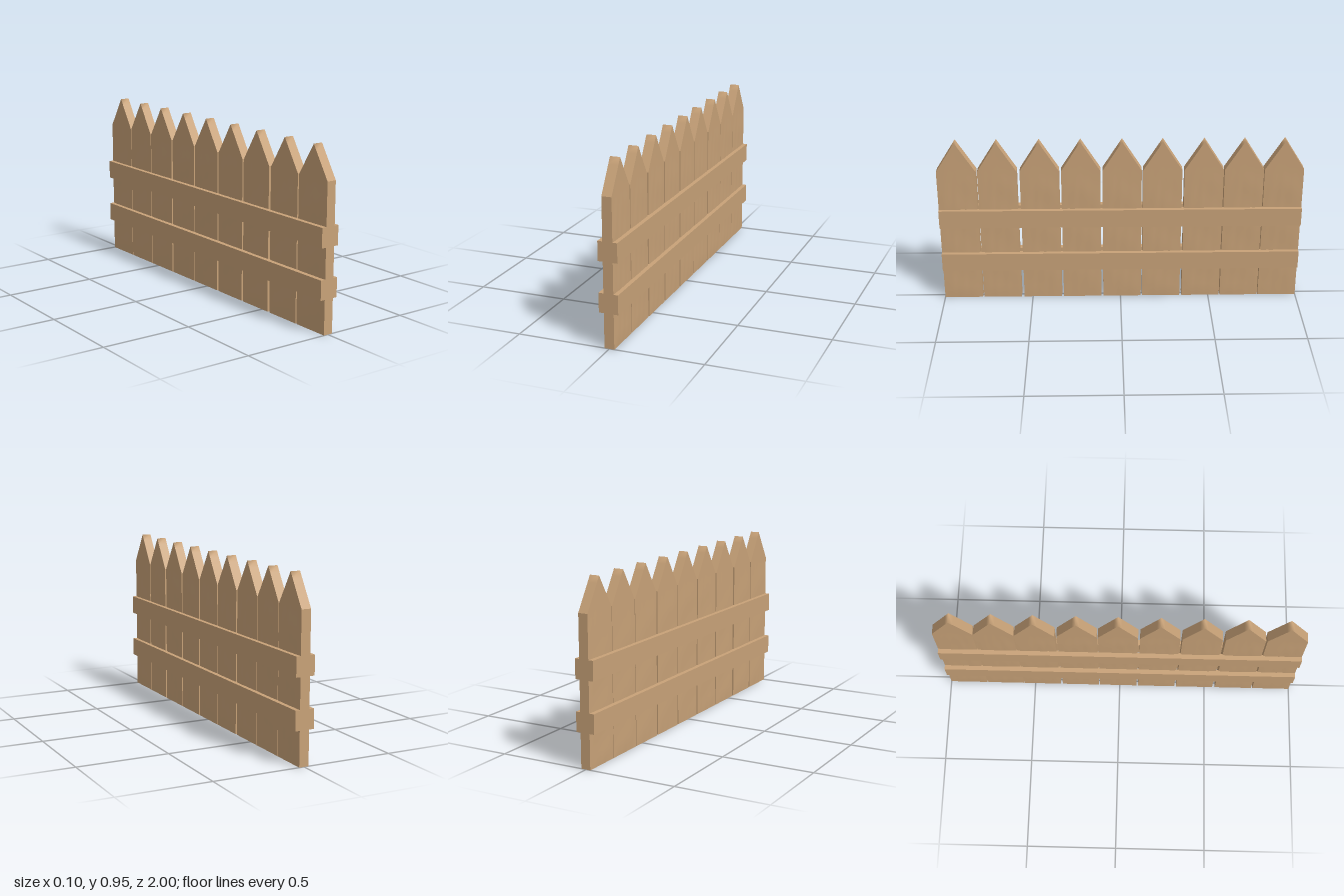
import * as THREE from 'three';

const WIDTH = 0.214, HALF = WIDTH / 2, SHOULDER = 0.785, TIP = 0.17, THICK = 0.053;

// Pointed board: a subdivided box sheared up to a peak, with faint hewn ripples on its broad faces
function picketGeometry(seed) {
  const g = new THREE.BoxGeometry(THICK, 1, WIDTH, 1, 24, 10);
  const p = g.attributes.position;
  for (let i = 0; i < p.count; i++) {
    const x = p.getX(i), z = p.getZ(i);
    const v = p.getY(i) + 0.5;
    const y = v * (SHOULDER + TIP * (1 - Math.abs(z) / HALF));
    const edge = 1 - Math.pow(Math.abs(z) / HALF, 4);
    const fade = THREE.MathUtils.clamp((0.78 - y) / 0.1, 0, 1) * THREE.MathUtils.clamp(y / 0.04, 0, 1);
    const side = Math.sign(x);
    const ripple = 0.5 + 0.5 * Math.sin(y * 17 + z * 45 + seed * 2.1 + side) * Math.cos(z * 60 - y * 7 + seed);
    p.setXYZ(i, x + side * 0.003 * ripple * edge * fade, y, z);
  }
  g.computeVertexNormals();
  return g;
}

export function createModel() {
  const model = new THREE.Group();
  model.name = 'picketFence';
  const wood = new THREE.MeshStandardMaterial({ name: 'tan wood', color: 0xc8a278 });

  // Row of pickets, with slightly uneven gaps
  const centres = [0.893, 0.671, 0.441, 0.216, -0.009, -0.23, -0.456, -0.675, -0.893];
  centres.forEach((z, i) => {
    const picket = new THREE.Mesh(picketGeometry(i), wood);
    picket.name = 'picket' + (i + 1);
    picket.position.set(0.001, 0, z);
    model.add(picket);
  });

  // Horizontal rails on both sides, buried a little into the pickets
  for (const [name, y] of [['lower', 0.238], ['upper', 0.506]]) {
    for (const side of [-1, 1]) {
      const rail = new THREE.Mesh(new THREE.BoxGeometry(0.032, 0.104, 2), wood);
      rail.name = name + (side > 0 ? 'LeftRail' : 'RightRail');
      rail.position.set(side * 0.036, y, 0);
      model.add(rail);
    }
  }
  return model;
}
